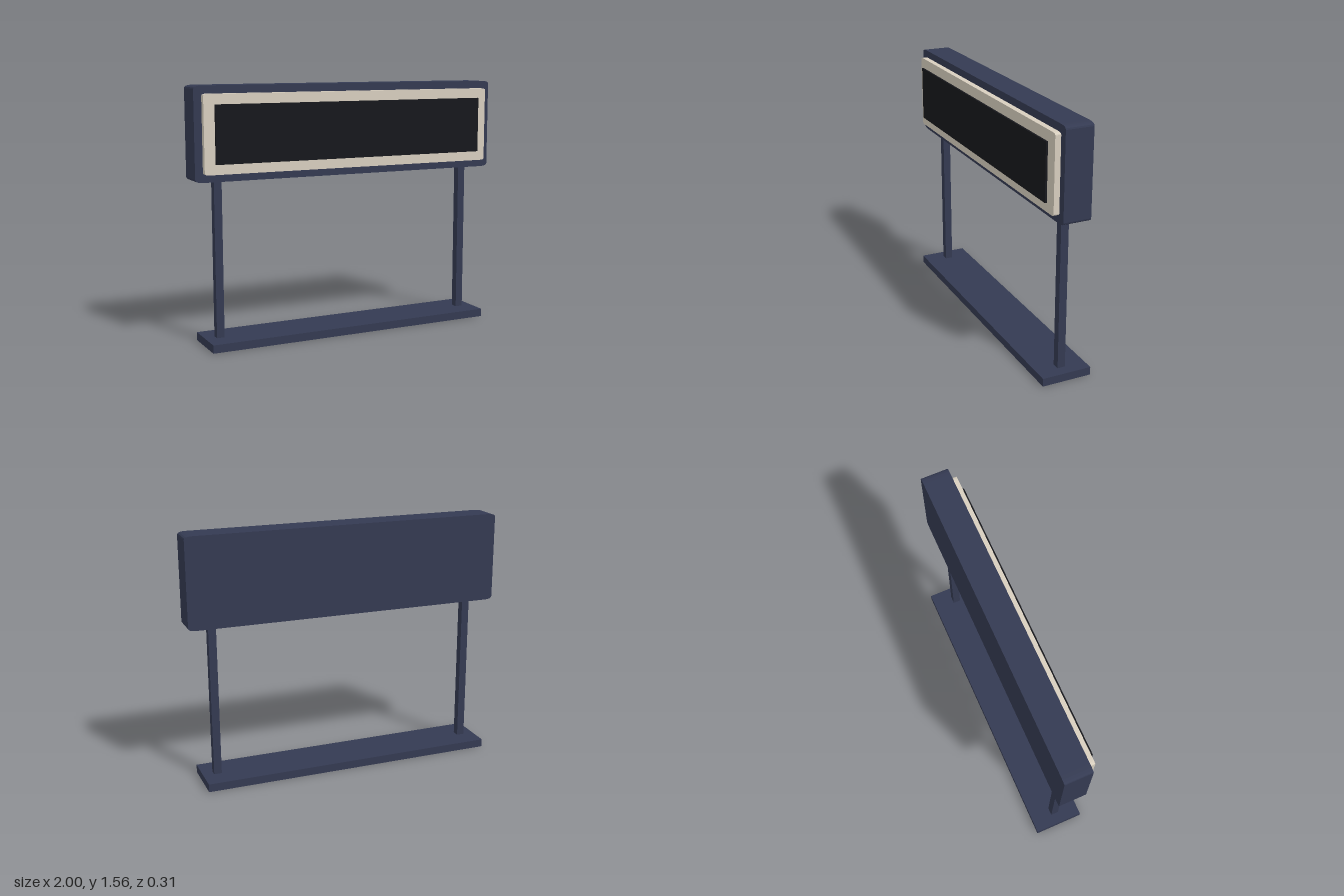
import * as THREE from 'three';

const navy = new THREE.MeshStandardMaterial({ color: 0x343a52, flatShading: true });
const cream = new THREE.MeshStandardMaterial({ color: 0xd8cfbf, flatShading: true });
const black = new THREE.MeshStandardMaterial({ color: 0x17181c, flatShading: true });

// Slab with softly cut corners, rx wide and ry high, extruded along z
function slab(w, h, d, rx, ry) {
  const x = w / 2, y = h / 2;
  const s = new THREE.Shape();
  s.moveTo(-x + rx, -y);
  s.lineTo(x - rx, -y);
  s.quadraticCurveTo(x, -y, x, -y + ry);
  s.lineTo(x, y - ry);
  s.quadraticCurveTo(x, y, x - rx, y);
  s.lineTo(-x + rx, y);
  s.quadraticCurveTo(-x, y, -x, y - ry);
  s.lineTo(-x, -y + ry);
  s.quadraticCurveTo(-x, -y, -x + rx, -y);
  return new THREE.ExtrudeGeometry(s, { depth: d, bevelEnabled: false, curveSegments: 4 })
    .translate(0, 0, -d / 2);
}

export function createModel() {
  const model = new THREE.Group();
  model.name = 'displaySign';

  const add = (name, geometry, material, x, y, z) => {
    const mesh = new THREE.Mesh(geometry, material);
    mesh.name = name;
    mesh.position.set(x, y, z);
    model.add(mesh);
  };

  // Stand: base plate and two square posts
  add('base', new THREE.BoxGeometry(1.872, 0.05, 0.31), navy, 0, 0.025, 0);
  for (const [name, side] of [['leftPost', 1], ['rightPost', -1]]) {
    add(name, new THREE.BoxGeometry(0.048, 0.96, 0.048), navy, side * 0.844, 0.525, 0);
  }

  // Sign box, raised front panel and the thin screen standing just off it
  add('housing', slab(2, 0.557, 0.17, 0.05, 0.02), navy, 0, 1.2785, 0);
  add('frontPanel', slab(1.906, 0.465, 0.04, 0.03, 0.012), cream, 0, 1.2785, 0.1);
  add('screen', new THREE.BoxGeometry(1.78, 0.345, 0.012), black, 0, 1.2785, 0.134);

  return model;
}
